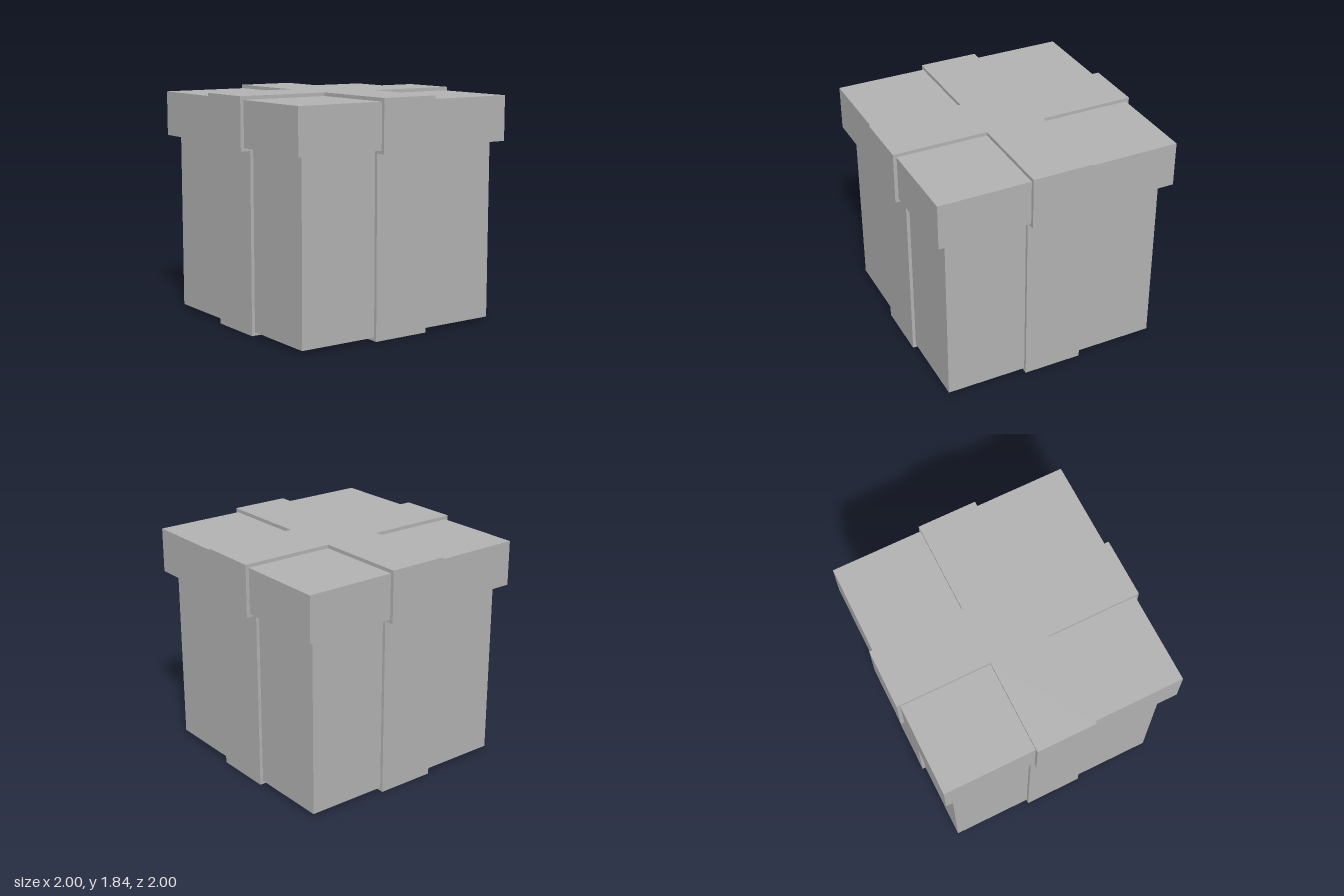
import * as THREE from 'three';

const grey = new THREE.MeshStandardMaterial({ color: 0xb2b2b2 });
grey.name = 'grey';

const RIBBON = 0.24; // half width of the ribbon

function addPart(group, name, geometry, y) {
  const mesh = new THREE.Mesh(geometry, grey);
  mesh.name = name;
  mesh.position.y = y;
  group.add(mesh);
}

// Square block from height y0 to y1
function addBlock(group, name, half, y0, y1) {
  addPart(group, name, new THREE.BoxGeometry(2 * half, y1 - y0, 2 * half), (y0 + y1) / 2);
}

// Plus-shaped prism that wraps a block on its four sides and across its face
function addRibbon(group, name, half, y0, y1) {
  const w = RIBBON;
  const outline = [
    [half, -w], [half, w], [w, w], [w, half], [-w, half], [-w, w],
    [-half, w], [-half, -w], [-w, -w], [-w, -half], [w, -half], [w, -w],
  ].map(([x, y]) => new THREE.Vector2(x, y));
  const geometry = new THREE.ExtrudeGeometry(new THREE.Shape(outline), { depth: y1 - y0, bevelEnabled: false });
  geometry.rotateX(-Math.PI / 2);
  addPart(group, name, geometry, y0);
}

export function createModel() {
  const gift = new THREE.Group();
  gift.name = 'giftBox';

  addBlock(gift, 'boxBody', 0.892, 0.028, 1.47);
  addBlock(gift, 'lid', 0.972, 1.453, 1.812);
  addRibbon(gift, 'bodyRibbon', 0.918, 0, 1.44);
  addRibbon(gift, 'lidRibbon', 1, 1.427, 1.84);

  return gift;
}
